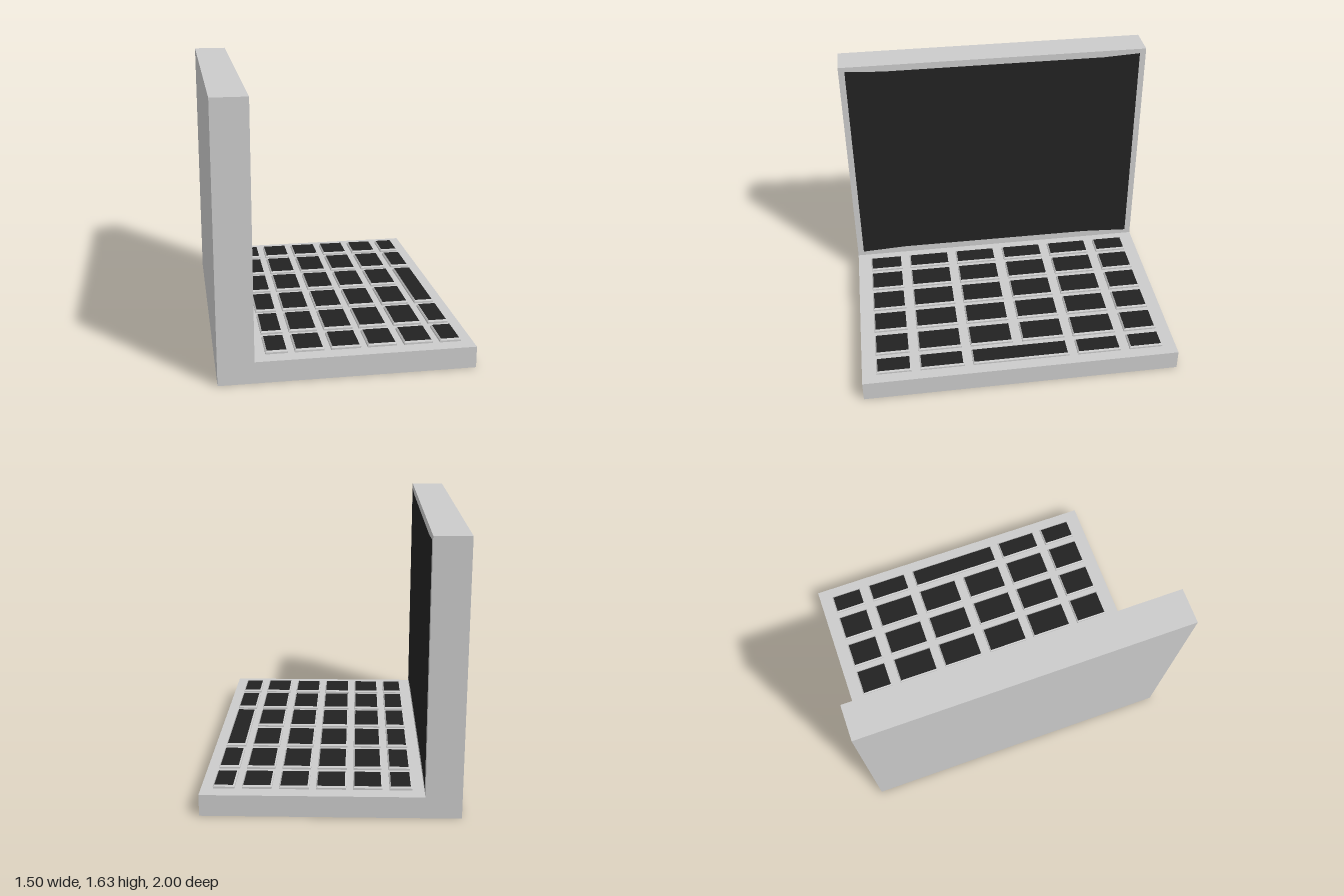
import * as THREE from 'three';

const grey = new THREE.MeshStandardMaterial({ color: 0xcccccc, flatShading: true });
const black = new THREE.MeshStandardMaterial({ color: 0x222222 });

const DECK = 0.13;      // top of the keyboard deck
const LID = -0.54;      // screen side of the lid
const KEY = 0.02;       // key height
const BEVEL = 0.008;    // key edge chamfer

function add(parent, name, geometry, material) {
  const mesh = new THREE.Mesh(geometry, material);
  mesh.name = name;
  parent.add(mesh);
  return mesh;
}

function polygon(points) {
  return new THREE.Shape(points.map(([x, y]) => new THREE.Vector2(x, y)));
}

// Chamfered grey key with a black cap face
function makeKey([x0, x1], [z0, z1]) {
  const key = new THREE.Group();
  key.name = 'key';
  const w = x1 - x0, d = z1 - z0;
  const geo = new THREE.BoxGeometry(w, KEY, d, 1, 2, 1);
  const p = geo.attributes.position;
  for (let i = 0; i < p.count; i++) {
    const y = p.getY(i);
    if (y > 0.001) {
      p.setX(i, p.getX(i) - Math.sign(p.getX(i)) * BEVEL);
      p.setZ(i, p.getZ(i) - Math.sign(p.getZ(i)) * BEVEL);
    } else if (y > -0.001) p.setY(i, KEY / 2 - BEVEL);
  }
  geo.computeVertexNormals();
  add(key, 'keyBody', geo, grey);
  const cap = add(key, 'keyCap', new THREE.PlaneGeometry(w - 2 * BEVEL, d - 2 * BEVEL), black);
  cap.rotation.x = -Math.PI / 2;
  cap.position.y = KEY / 2 + 0.001;
  key.position.set((x0 + x1) / 2, DECK + KEY / 2 - 0.001, (z0 + z1) / 2);
  return key;
}

export function createModel() {
  const model = new THREE.Group();
  model.name = 'laptop';

  // L-shaped body: deck and upright lid in one piece
  const profile = polygon([[-0.75, 0], [0.75, 0], [0.75, DECK], [LID, DECK], [LID, 1.63], [-0.75, 1.63]]);
  const body = new THREE.ExtrudeGeometry(profile, { depth: 2, bevelEnabled: false });
  body.translate(0, 0, -1);
  add(model, 'body', body, grey);

  // Screen panel with slightly flared corners, facing +x
  const outline = polygon([
    [-0.96, 0.162], [-0.66, 0.178], [0.66, 0.178], [0.96, 0.162],
    [0.96, 1.6], [0.72, 1.587], [-0.72, 1.587], [-0.96, 1.6],
  ]);
  const screen = add(model, 'screen', new THREE.ShapeGeometry(outline), black);
  screen.rotation.y = Math.PI / 2;
  screen.position.x = LID + 0.002;

  // Keyboard grid; the front row has one long space bar in the middle
  const columns = [[-0.47, -0.34], [-0.3, -0.13], [-0.09, 0.085], [0.125, 0.297], [0.34, 0.512], [0.555, 0.68]];
  const rows = [[-0.912, -0.7], [-0.64, -0.363], [-0.306, -0.03], [0.03, 0.306], [0.36, 0.637], [0.692, 0.91]];
  const keyboard = new THREE.Group();
  keyboard.name = 'keyboard';
  columns.forEach((c, i) => rows.forEach((r, j) => {
    if (i === 5 && (j === 2 || j === 3)) return;
    keyboard.add(makeKey(c, r));
  }));
  const spaceBar = makeKey(columns[5], [-0.306, 0.306]);
  spaceBar.name = 'spaceBar';
  keyboard.add(spaceBar);
  model.add(keyboard);

  return model;
}
